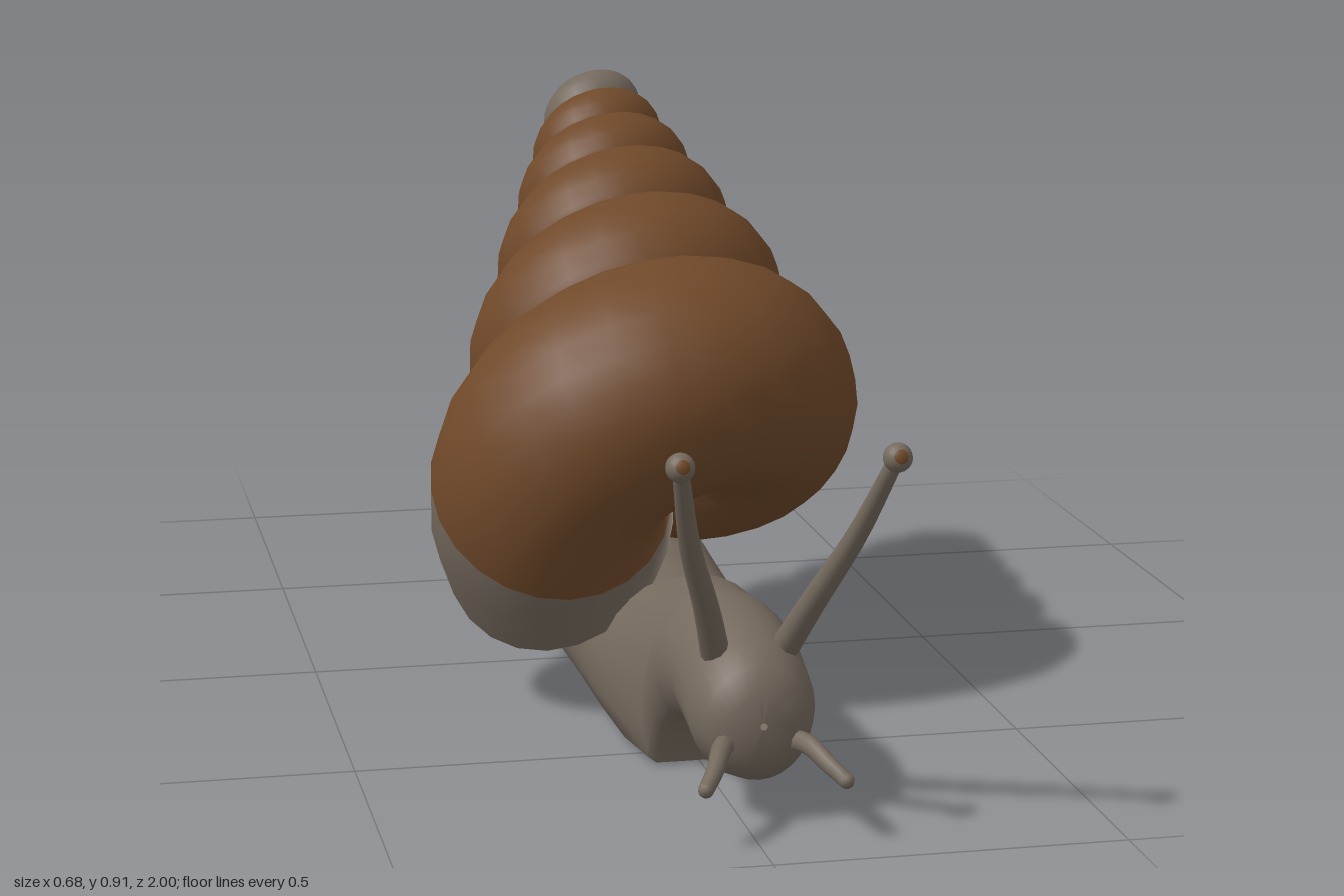
import * as THREE from 'three';
import { toCreasedNormals } from 'three/addons/utils/BufferGeometryUtils.js';

const CX = 0.022; // sideways offset of the whole animal

// Skin a list of closed rings (arrays of Vector3) with shared vertices
function loft(rings) {
  const n = rings[0].length, index = [];
  for (let i = 0; i < rings.length - 1; i++) {
    for (let j = 0; j < n; j++) {
      const k = (j + 1) % n;
      const a = i * n + j, b = a + n, c = i * n + k, d = c + n;
      index.push(a, b, c, c, b, d);
    }
  }
  const geo = new THREE.BufferGeometry().setFromPoints(rings.flat());
  geo.setIndex(index);
  geo.computeVertexNormals();
  return geo;
}

function add(parent, name, geo, mat) {
  const mesh = new THREE.Mesh(geo, mat);
  mesh.name = name;
  parent.add(mesh);
  return mesh;
}

// Body: stations of z, underside, top, half width, height share of the widest line
function bodyGeometry() {
  const stations = [
    [0.852, 0.14, 0.15, 0.005, 0.5],
    [0.847, 0.09, 0.19, 0.045, 0.5],
    [0.825, 0.06, 0.225, 0.075, 0.5],
    [0.785, 0.05, 0.248, 0.09, 0.5],
    [0.735, 0.065, 0.264, 0.092, 0.5],
    [0.68, 0.09, 0.27, 0.094, 0.48],
    [0.61, 0.09, 0.27, 0.1, 0.42],
    [0.575, 0.065, 0.268, 0.106, 0.36],
    [0.557, 0.003, 0.266, 0.112, 0.33],
    [0.45, 0, 0.253, 0.126, 0.33],
    [0.32, 0, 0.215, 0.136, 0.36],
    [0.15, 0, 0.205, 0.14, 0.38],
    [0, 0, 0.23, 0.14, 0.36],
    [-0.13, 0, 0.248, 0.136, 0.34],
    [-0.25, 0, 0.195, 0.13, 0.38],
    [-0.4, 0, 0.175, 0.12, 0.38],
    [-0.55, 0, 0.158, 0.105, 0.38],
    [-0.7, 0, 0.132, 0.082, 0.38],
    [-0.84, 0.005, 0.095, 0.053, 0.4],
    [-0.95, 0.017, 0.056, 0.024, 0.45],
    [-1.0, 0.032, 0.037, 0.002, 0.5],
  ];
  const rings = stations.map(([z, lo, hi, w, mid]) => {
    const ring = [];
    for (let j = 0; j < 28; j++) {
      const t = j / 28 * Math.PI * 2;
      const h = Math.max(0, mid + (1 - mid) * Math.sin(t)); // flat sole
      ring.push(new THREE.Vector3(CX + w * Math.cos(t), lo + (hi - lo) * h, z));
    }
    return ring;
  });
  return toCreasedNormals(loft(rings), 0.9);
}

// Shell: an oval tube growing along a logarithmic spiral round a tilted axis
const APEX = new THREE.Vector3(CX, 0.974, -0.518);
const AXIS = new THREE.Vector3(0, -0.656, 0.755).normalize();
const UP = new THREE.Vector3(0, 0.755, 0.656).normalize();
const WHORL = 1.33;
const growth = turn => Math.pow(WHORL, turn);

function spiralPoint(turn, radius, along) {
  const phi = turn * Math.PI * 2;
  return APEX.clone()
    .addScaledVector(AXIS, along)
    .addScaledVector(UP, Math.cos(phi) * radius)
    .add(new THREE.Vector3(-Math.sin(phi) * radius, 0, 0));
}

function shellGeometry(start, end, steps, around) {
  const rings = [];
  for (let i = 0; i <= steps; i++) {
    const turn = start + (end - start) * i / steps, s = growth(turn), ring = [];
    for (let j = 0; j < around; j++) {
      const a = j / around * Math.PI * 2;
      ring.push(spiralPoint(turn, s * (0.167 + 0.172 * Math.cos(a)), s * (0.9 + 0.195 * Math.sin(a))));
    }
    rings.push(ring);
  }
  return loft(rings);
}

// Tapered stalk along a curve
function stalkGeometry(points, r0, r1) {
  const curve = new THREE.CatmullRomCurve3(points.map(p => new THREE.Vector3(...p)));
  const segs = 10, sides = 10;
  const frames = curve.computeFrenetFrames(segs);
  const rings = [];
  for (let i = 0; i <= segs; i++) {
    const c = curve.getPointAt(i / segs), r = r0 + (r1 - r0) * i / segs, ring = [];
    for (let j = 0; j < sides; j++) {
      const a = -j / sides * Math.PI * 2;
      ring.push(c.clone()
        .addScaledVector(frames.normals[i], r * Math.cos(a))
        .addScaledVector(frames.binormals[i], r * Math.sin(a)));
    }
    rings.push(ring);
  }
  return loft(rings);
}

export function createModel() {
  const skin = new THREE.MeshStandardMaterial({ color: 0x74695d, side: THREE.DoubleSide });
  skin.name = 'skin grey';
  const brown = new THREE.MeshStandardMaterial({ color: 0x70492a, side: THREE.DoubleSide });
  brown.name = 'shell brown';
  const model = new THREE.Group();
  model.name = 'snail';

  add(model, 'body', bodyGeometry(), skin);

  // Shell with a grey tip and a grey lip band
  const shell = new THREE.Group();
  shell.name = 'shell';
  model.add(shell);
  const start = -5.45, end = 0.328, steps = 150, around = 24;
  const geo = shellGeometry(start, end, steps, around);
  const row = turn => Math.round((turn - start) / (end - start) * steps) * around * 6;
  const tipEnd = row(-4.3), lipStart = row(0.262);
  geo.addGroup(0, tipEnd, 0);
  geo.addGroup(tipEnd, lipStart - tipEnd, 1);
  geo.addGroup(lipStart, row(end) - lipStart, 0);
  add(shell, 'whorls', geo, [skin, brown]);
  const s0 = growth(start);
  const tip = add(shell, 'shellTip', new THREE.SphereGeometry(0.178 * s0, 16, 12), skin);
  tip.position.copy(spiralPoint(start, 0.167 * s0, 0.9 * s0));

  // Feelers, mirrored about the middle of the head
  for (const side of [1, -1]) {
    const name = side > 0 ? 'left' : 'right';
    const at = (dx, y, z) => [CX + side * dx, y, z];
    const eyeStalk = new THREE.Group();
    eyeStalk.name = name + 'EyeStalk';
    model.add(eyeStalk);
    add(eyeStalk, 'stalk', stalkGeometry(
      [at(0.045, 0.215, 0.755), at(0.075, 0.31, 0.822), at(0.115, 0.42, 0.895), at(0.146, 0.545, 0.977)], 0.021, 0.011), skin);
    add(eyeStalk, 'knob', new THREE.SphereGeometry(0.02, 16, 12), skin)
      .position.set(...at(0.147, 0.548, 0.98));
    const eye = add(eyeStalk, 'eye', new THREE.SphereGeometry(0.0207, 12, 4, 0, Math.PI * 2, 0, 0.5), brown);
    eye.position.set(...at(0.147, 0.548, 0.98));
    eye.rotation.x = 1.3;

    const feeler = new THREE.Group();
    feeler.name = name + 'LowerFeeler';
    model.add(feeler);
    add(feeler, 'stalk', stalkGeometry(
      [at(0.04, 0.115, 0.81), at(0.062, 0.118, 0.86), at(0.08, 0.102, 0.9), at(0.098, 0.086, 0.927)], 0.016, 0.011), skin);
    add(feeler, 'end', new THREE.SphereGeometry(0.0112, 10, 8), skin)
      .position.set(...at(0.098, 0.086, 0.927));
  }
  return model;
}
